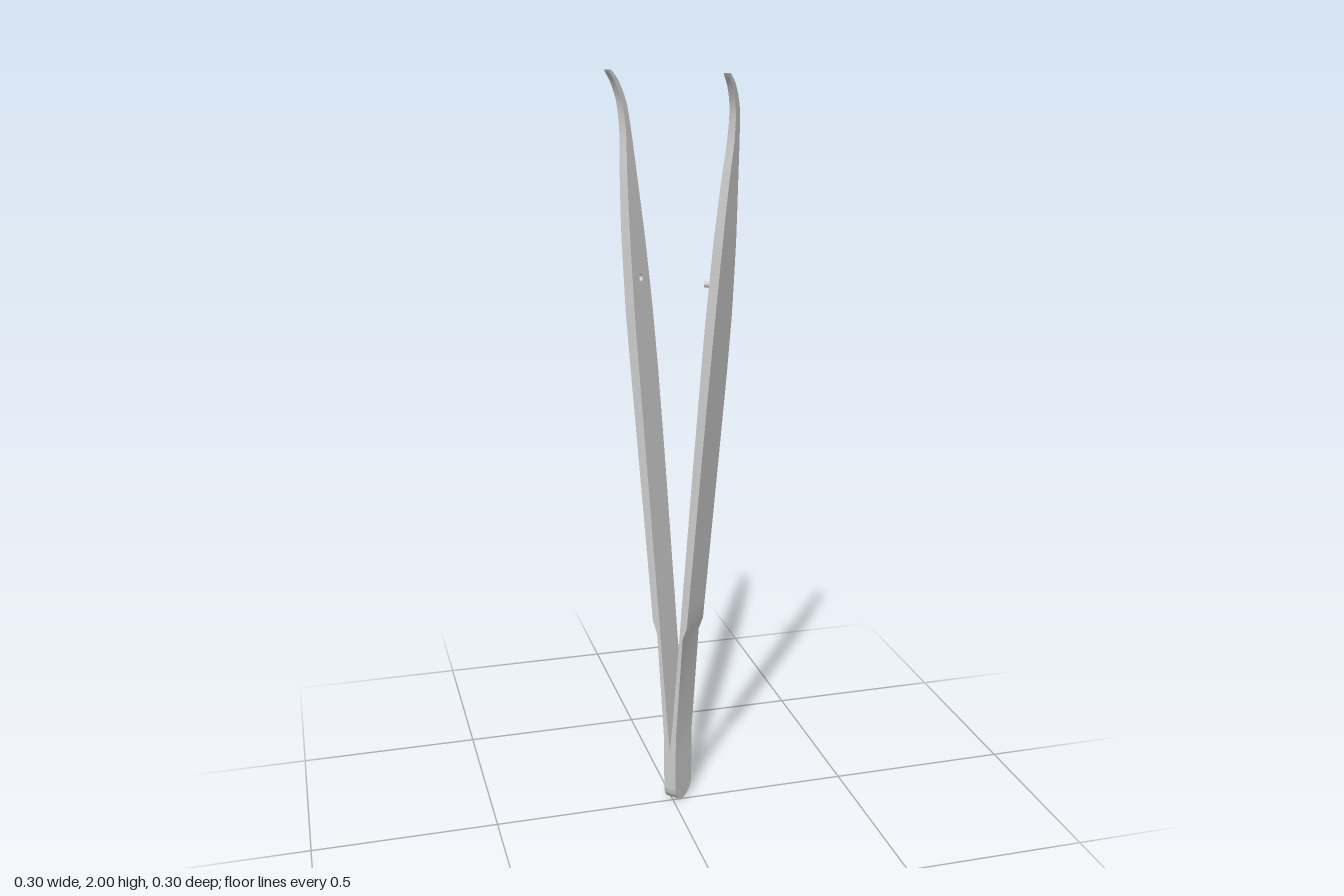
import * as THREE from 'three';
import { toCreasedNormals } from 'three/addons/utils/BufferGeometryUtils.js';

// Distance of the inner and outer arm faces from the middle plane: [height, distance]
const INNER = [[0, 0], [0.16, 0], [0.25, 0.009], [0.6, 0.037], [1, 0.07], [1.4, 0.104], [1.6, 0.121], [1.85, 0.144], [2, 0.16]];
const OUTER = [[0, 0.018], [0.2, 0.019], [0.51, 0.04], [0.545, 0.053], [1, 0.094], [1.4, 0.131], [1.6, 0.147], [1.85, 0.164], [2, 0.173]];
const HOLE_Y = 1.48, HOLE_W = 0.028, PLATE = [1.44, 1.52];

function lerpTable(table, y) {
  let i = 1;
  while (i < table.length - 1 && table[i][0] < y) i++;
  const [y0, v0] = table[i - 1], [y1, v1] = table[i];
  return v0 + (v1 - v0) * (y - y0) / (y1 - y0);
}

// Stations up the arm: { y, a: one edge of the width, b: other edge }
function makeStations() {
  const list = [];
  // rounded butt end
  for (let i = 0; i <= 10; i++) {
    const t = Math.max(i / 10 * Math.PI / 2, 0.02), r = 0.045;
    list.push({ y: r - r * Math.cos(t), a: 0.028 - r * Math.sin(t), b: 0.028 + r * Math.sin(t) });
  }
  list[0].y = 0;
  // straight grip
  for (const y of [0.16, 0.2, 0.25, 0.51, 0.545, 0.6, 1]) {
    const k = THREE.MathUtils.clamp((y - 0.5) / 0.5, 0, 1);
    list.push({ y, a: -0.017 - 0.001 * k, b: 0.073 + 0.004 * k });
  }
  // tapering plate and hooked tip
  const curve = new THREE.CatmullRomCurve3([
    [-0.018, 1.25, 0.077], [-0.017, 1.4, 0.073], [-0.0155, 1.44, 0.0712], [-0.0125, 1.52, 0.0665],
    [-0.009, 1.6, 0.061], [0.003, 1.75, 0.048], [0.014, 1.85, 0.039], [0.008, 1.92, 0.029],
    [-0.015, 1.97, 0.004], [-0.035, 1.994, -0.02], [-0.039, 2, -0.029],
  ].map(p => new THREE.Vector3(...p)));
  for (const p of curve.getPoints(40)) {
    const inPlate = p.y > PLATE[0] + 1e-4 && p.y < PLATE[1] - 1e-4;
    if (!inPlate) list.push({ y: p.y, a: p.x, b: p.z });
  }
  return list;
}

// Four-cornered loft through the stations; side is +1 or -1
function loft(stations, side) {
  const pos = [], idx = [];
  const tri = (a, b, c) => side > 0 ? idx.push(a, b, c) : idx.push(a, c, b);
  stations.forEach(({ y, a, b }) => {
    const u0 = side * lerpTable(INNER, y), u1 = side * lerpTable(OUTER, y);
    pos.push(u0, y, -a, u1, y, -a, u1, y, -b, u0, y, -b);
  });
  for (let s = 0; s < stations.length - 1; s++) {
    for (let i = 0; i < 4; i++) {
      const p = s * 4 + i, q = s * 4 + (i + 1) % 4;
      tri(p, q, q + 4);
      tri(p, q + 4, p + 4);
    }
  }
  const top = (stations.length - 1) * 4;
  tri(0, 2, 1); tri(0, 3, 2);
  tri(top, top + 1, top + 2); tri(top, top + 2, top + 3);
  const geo = new THREE.BufferGeometry();
  geo.setAttribute('position', new THREE.Float32BufferAttribute(pos, 3));
  geo.setIndex(idx);
  return toCreasedNormals(geo, 0.5);
}

// Short plate pierced by the guide hole, bent onto the negative arm
function piercedPlate(lo, hi) {
  const shape = new THREE.Shape([[-lo.b, lo.y], [-lo.a, lo.y], [-hi.a, hi.y], [-hi.b, hi.y]]
    .map(p => new THREE.Vector2(...p)));
  const hole = new THREE.Path();
  hole.absarc(-HOLE_W, HOLE_Y, 0.009, 0, Math.PI * 2, true);
  shape.holes.push(hole);
  const geo = new THREE.ExtrudeGeometry(shape, { depth: 1, bevelEnabled: false, curveSegments: 10 });
  const p = geo.attributes.position;
  for (let i = 0; i < p.count; i++) {
    const z = p.getX(i), y = p.getY(i);
    const u = THREE.MathUtils.lerp(lerpTable(INNER, y), lerpTable(OUTER, y), p.getZ(i));
    p.setXYZ(i, -u, y, z);
  }
  return toCreasedNormals(geo, 0.5);
}

export function createModel() {
  const model = new THREE.Group();
  model.name = 'tweezers';
  const material = new THREE.MeshStandardMaterial({ color: 0xcccccc });
  const add = (name, geo, parent = model) => {
    const mesh = new THREE.Mesh(geo, material);
    mesh.name = name;
    parent.add(mesh);
    return mesh;
  };
  const stations = makeStations();

  // arm carrying the pin
  add('pinArm', loft(stations, 1));
  const pin = add('guidePin', new THREE.CylinderGeometry(0.008, 0.008, 0.056, 16));
  pin.rotation.z = Math.PI / 2;
  pin.position.set(0.106, HOLE_Y, -HOLE_W);

  // arm with the hole
  const holeArm = new THREE.Group();
  holeArm.name = 'holeArm';
  model.add(holeArm);
  const lower = stations.filter(s => s.y < PLATE[0] + 0.001);
  const upper = stations.filter(s => s.y > PLATE[1] - 0.001);
  add('holeArmGrip', loft(lower, -1), holeArm);
  add('holeArmPlate', piercedPlate(lower[lower.length - 1], upper[0]), holeArm);
  add('holeArmTip', loft(upper, -1), holeArm);

  // the arms open along the diagonal
  model.rotation.y = -Math.PI / 4;
  return model;
}
